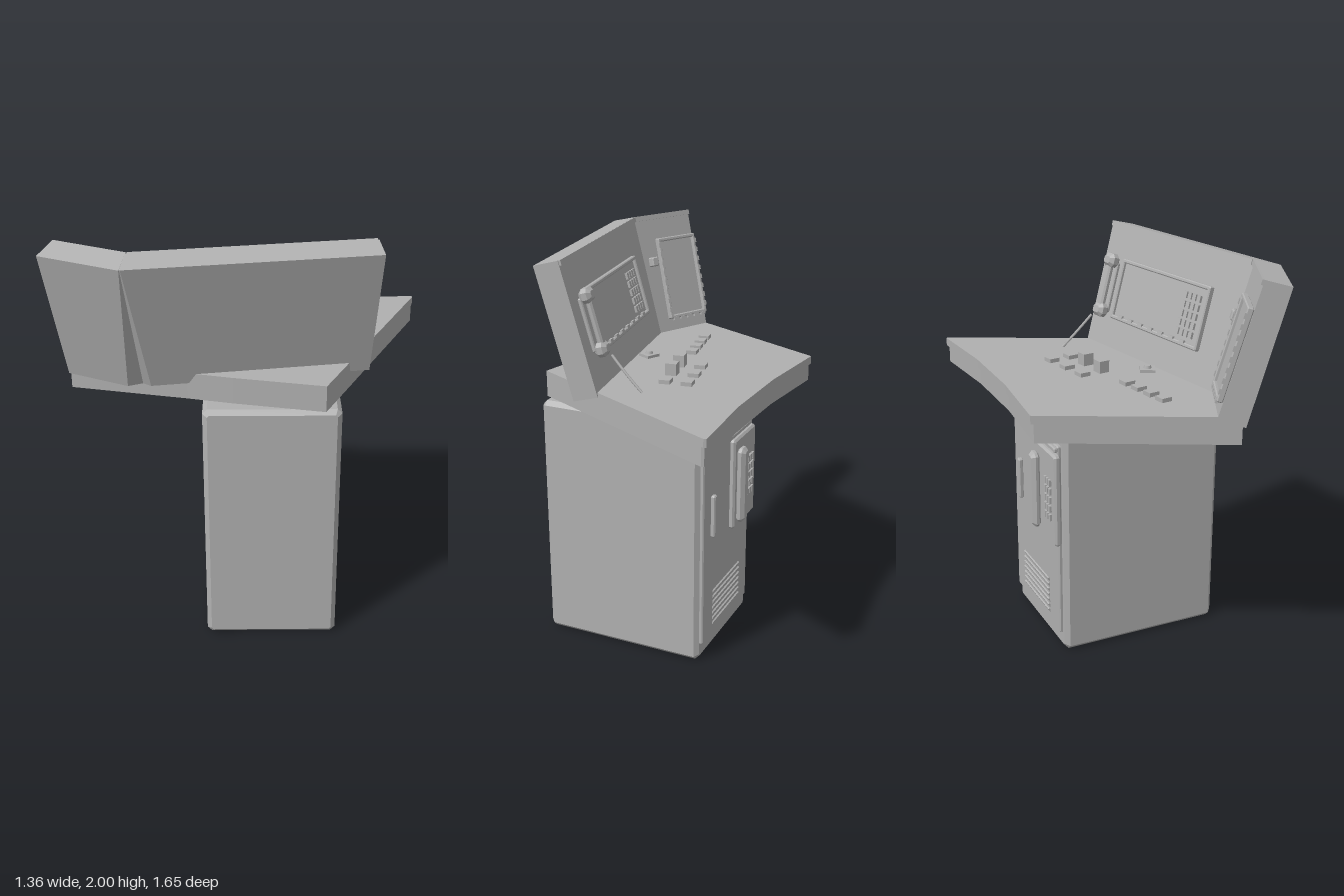
import * as THREE from 'three';

const gray = new THREE.MeshStandardMaterial({ color: 0xb0b0b0 });
gray.name = 'console gray';

const add = (parent, name, geo, x = 0, y = 0, z = 0) => {
  const m = new THREE.Mesh(geo, gray);
  m.name = name;
  m.position.set(x, y, z);
  parent.add(m);
  return m;
};

const box = (w, h, d) => new THREE.BoxGeometry(w, h, d);

// Box with all edges chamfered by c, centred on the origin
function chamferBox(w, h, d, c) {
  const a = w / 2, b = h / 2;
  const s = new THREE.Shape([
    [-a + c, -b], [a - c, -b], [a, -b + c], [a, b - c],
    [a - c, b], [-a + c, b], [-a, b - c], [-a, -b + c],
  ].map(p => new THREE.Vector2(...p)));
  const g = new THREE.ExtrudeGeometry(s, {
    depth: d - 2 * c, bevelEnabled: true, bevelThickness: c, bevelSize: c, bevelOffset: -c, bevelSegments: 1,
  });
  return g.translate(0, 0, -d / 2 + c);
}

// Horizontal slab from a plan outline of [x, z] points
function slab(outline, y0, y1) {
  const s = new THREE.Shape(outline.map(([x, z]) => new THREE.Vector2(x, -z)));
  const g = new THREE.ExtrudeGeometry(s, { depth: y1 - y0, bevelEnabled: false });
  return g.rotateX(-Math.PI / 2).translate(0, y0, 0);
}

// Loft through four-cornered stations with flat caps
function loft(stations) {
  const pos = [];
  const quad = (a, b, c, d) => pos.push(...a, ...b, ...c, ...a, ...c, ...d);
  for (let i = 0; i + 1 < stations.length; i++) {
    const a = stations[i], b = stations[i + 1];
    for (let k = 0; k < 4; k++) quad(a[k], b[k], b[(k + 1) % 4], a[(k + 1) % 4]);
  }
  quad(...stations[0]);
  quad(...[...stations[stations.length - 1]].reverse());
  const g = new THREE.BufferGeometry();
  g.setAttribute('position', new THREE.Float32BufferAttribute(pos, 3));
  g.computeVertexNormals();
  return g;
}

// Group whose local z is the face normal and local y runs up the face
function faceGroup(name, origin, angle, lean) {
  const nx = Math.sin(angle), nz = Math.cos(angle);
  const z = new THREE.Vector3(-nx * Math.cos(lean), Math.sin(lean), -nz * Math.cos(lean));
  const y = new THREE.Vector3(nx * Math.sin(lean), Math.cos(lean), nz * Math.sin(lean));
  const g = new THREE.Group();
  g.name = name;
  g.quaternion.setFromRotationMatrix(new THREE.Matrix4().makeBasis(y.clone().cross(z), y, z));
  g.position.set(...origin);
  return g;
}

function keypad(parent, x0, x1, y0, y1, cols, rows, z) {
  const w = (x1 - x0) / cols, h = (y1 - y0) / rows;
  for (let i = 0; i < cols; i++) for (let j = 0; j < rows; j++)
    add(parent, 'key', box(w * 0.72, h * 0.72, 0.016), x0 + w * (i + 0.5), y0 + h * (j + 0.5), z);
}

// Raised screen: frame bars around a slightly lower plate
function screen(parent, x0, x1, y0, y1) {
  const cx = (x0 + x1) / 2, cy = (y0 + y1) / 2, w = x1 - x0, h = y1 - y0;
  add(parent, 'screenPlate', box(w - 0.01, h - 0.01, 0.014), cx, cy, 0.007);
  for (const s of [-1, 1]) {
    add(parent, 'screenFrame', chamferBox(w, 0.02, 0.03, 0.005), cx, cy + s * (h / 2 - 0.01), 0.015);
    add(parent, 'screenFrame', chamferBox(0.02, h, 0.03, 0.005), cx + s * (w / 2 - 0.01), cy, 0.015);
  }
}

function makeCabinet() {
  const g = faceGroup('cabinet', [0.0925, 0, 0.08], 0.453, 0);
  add(g, 'cabinetBody', chamferBox(0.64, 1.26, 0.845, 0.022), 0, 0.63, 0);
  const f = 0.4225;
  add(g, 'door', chamferBox(0.58, 1.02, 0.024, 0.006), -0.01, 0.6, f + 0.006);
  add(g, 'doorTopStrip', chamferBox(0.5, 0.025, 0.02, 0.005), 0.03, 1.09, f + 0.024);
  add(g, 'doorHandle', chamferBox(0.032, 0.22, 0.026, 0.006), -0.2, 0.76, f + 0.028);
  // Wall phone on the door
  add(g, 'phoneBase', chamferBox(0.28, 0.48, 0.036, 0.01), 0.165, 0.83, f + 0.026);
  add(g, 'phoneHandset', chamferBox(0.075, 0.4, 0.05, 0.018), 0.085, 0.82, f + 0.06);
  keypad(g, 0.185, 0.265, 0.71, 0.94, 3, 5, f + 0.047);
  // Vent louvres
  for (let i = 0; i < 7; i++) {
    const slat = add(g, 'ventSlat', box(0.335, 0.022, 0.008), -0.012, 0.155 + i * 0.03, f + 0.02);
    slat.rotation.x = 0.5;
  }
  return g;
}

function makeDesk() {
  const g = new THREE.Group();
  g.name = 'desk';
  const front = [[0.5, 0.36], [0.08, 0.465], [-0.13, 0.51], [-0.68, 0.64]];
  const back = [[-0.68, -0.29], [-0.27, -0.44], [0.12, -0.62], [0.49, -0.83], [0.5, -0.82]];
  add(g, 'deskBody', slab([...front, ...back.map(([x, z]) => [x, z + 0.014])], 1.26, 1.35));
  add(g, 'deskTop', slab([...front, ...back], 1.35, 1.39));
  // Desk controls: [x, z, height]
  const controls = [
    [-0.12, -0.08, 0.02], [-0.01, -0.16, 0.02], [0.1, -0.24, 0.02],
    [-0.06, 0.01, 0.06], [0.055, -0.07, 0.06], [0.16, -0.15, 0.02],
    [-0.47, 0.3, 0.02], [-0.395, 0.245, 0.02], [-0.32, 0.19, 0.02], [-0.245, 0.135, 0.02],
  ];
  for (const [x, z, h] of controls)
    add(g, 'deskButton', box(0.055, h, 0.055), x, 1.39 + h / 2, z).rotation.y = 0.6;
  add(g, 'dialPlate', box(0.075, 0.014, 0.075), -0.042, 1.397, 0.235);
  add(g, 'dial', new THREE.CylinderGeometry(0.016, 0.02, 0.014, 8), -0.042, 1.411, 0.235);
  return g;
}

function makePanels() {
  const g = new THREE.Group();
  g.name = 'controlPanels';
  const st = (ot, it, ib, ob) => [
    [ot[0], 1.97, ot[1]], [it[0], 2.0, it[1]], [ib[0], 1.37, ib[1]], [ob[0], 1.34, ob[1]],
  ];
  // Leaning wing and main panel meeting at a notched corner
  add(g, 'panelShell', loft([
    st([-0.68, 0.82], [-0.68, 0.7], [-0.68, 0.525], [-0.68, 0.655]),
    st([-0.266, 0.82], [-0.305, 0.7], [-0.355, 0.525], [-0.36, 0.655]),
    st([-0.266, 0.815], [-0.305, 0.7], [-0.355, 0.525], [-0.312, 0.6]),
    st([-0.262, 0.815], [-0.305, 0.7], [-0.355, 0.525], [-0.265, 0.608]),
    st([0.675, 0.16], [0.606, 0.062], [0.506, -0.078], [0.575, 0.02]),
  ]));
  const lean = 0.27;

  // Main panel fittings: x runs from its +x end, y downwards is negative
  const main = faceGroup('mainPanelFittings', [0.606, 2.0, 0.062], 0.61, lean);
  add(main, 'topLip', box(1.1, 0.025, 0.012), 0.555, -0.0125, 0.004);
  screen(main, 0.19, 0.9, -0.48, -0.17);
  keypad(main, 0.715, 0.85, -0.44, -0.22, 4, 5, 0.018);
  for (let i = 0; i < 7; i++) add(main, 'screenTab', box(0.035, 0.014, 0.012), 0.28 + i * 0.085, -0.458, 0.026);
  // Handset with ear and mouth pieces
  add(main, 'handsetCradle', chamferBox(0.06, 0.26, 0.02, 0.005), 0.115, -0.33, 0.01);
  add(main, 'handsetGrip', chamferBox(0.045, 0.24, 0.03, 0.009), 0.115, -0.33, 0.045);
  for (const y of [-0.195, -0.455])
    add(main, 'handsetEnd', chamferBox(0.085, 0.07, 0.062, 0.018), 0.115, y, 0.041);
  g.add(main);

  // Wing fittings
  const wing = faceGroup('wingFittings', [-0.305, 2.0, 0.7], 0, lean);
  add(wing, 'topLip', box(0.375, 0.025, 0.012), 0.1875, -0.0125, 0.004);
  screen(wing, 0.115, 0.372, -0.57, -0.13);
  for (let i = 0; i < 5; i++) add(wing, 'screenTab', box(0.03, 0.016, 0.012), 0.15 + i * 0.048, -0.572, 0.026);
  for (let i = 0; i < 8; i++) for (const x of [0.122, 0.365])
    add(wing, 'screenTab', box(0.016, 0.026, 0.012), x, -0.17 - i * 0.05, 0.028);
  add(wing, 'clip', chamferBox(0.042, 0.05, 0.04, 0.006), 0.07, -0.25, 0.018);
  g.add(wing);

  // Handset cord down to the desk
  const cord = new THREE.QuadraticBezierCurve3(
    new THREE.Vector3(0.4, 1.55, -0.05), new THREE.Vector3(0.375, 1.47, -0.12), new THREE.Vector3(0.34, 1.39, -0.2));
  add(g, 'handsetCord', new THREE.TubeGeometry(cord, 6, 0.007, 6));
  return g;
}

export function createModel() {
  const model = new THREE.Group();
  model.name = 'controlConsole';
  model.add(makeCabinet(), makeDesk(), makePanels());
  return model;
}
